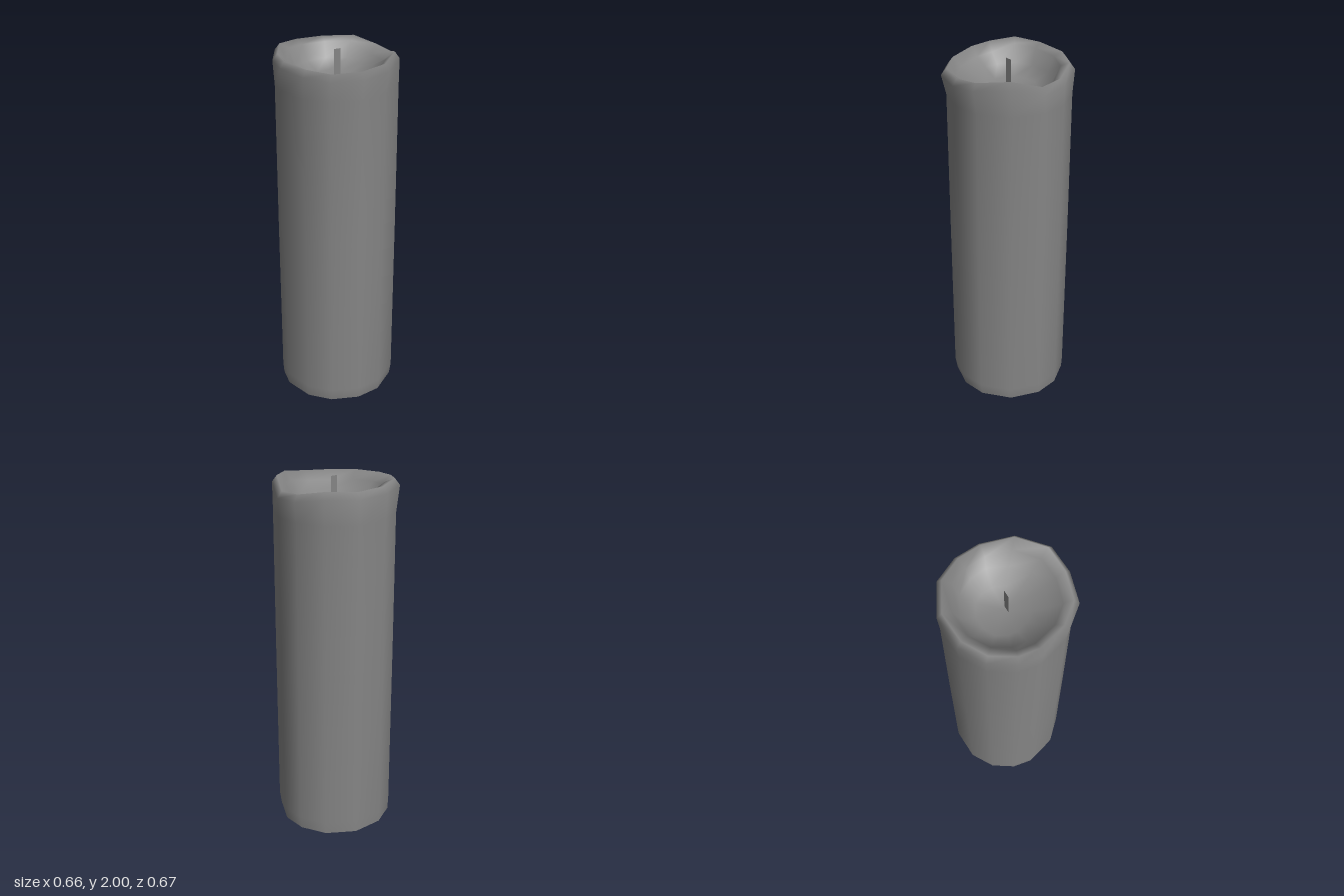
import * as THREE from 'three';

// Uneven outline of the candle rim: x, z and crest height, front going round by +x
const RIM = [
  [-0.03, 0.335, 1.967], [0.12, 0.325, 1.985], [0.255, 0.2, 2.0], [0.327, 0.04, 1.955],
  [0.317, -0.1, 1.962], [0.24, -0.24, 1.99], [0.08, -0.33, 1.985], [-0.1, -0.323, 1.99],
  [-0.24, -0.25, 2.0], [-0.315, -0.12, 1.985], [-0.33, 0, 1.978], [-0.285, 0.17, 1.97],
  [-0.19, 0.288, 1.962],
];
const N = RIM.length;

// Ring of the plain body: directions of the rim, nearly constant radius
function bodyRing(y, radius, dz = 0) {
  return RIM.map(([x, z]) => {
    const k = radius / Math.hypot(x, z);
    return [x * k, y, z * k + dz];
  });
}

// Ring following the rim; y comes from the crest height and depth position
function rimRing(scale, height, dz = 0) {
  return RIM.map(([x, z, crest]) => [x * scale, height(crest, z), z * scale + dz]);
}

// Skin a list of rings, then close the last one at a centre point
function skin(rings, centre) {
  const index = [];
  for (let j = 0; j < rings.length - 1; j++) {
    for (let i = 0; i < N; i++) {
      const a = j * N + i, b = j * N + (i + 1) % N;
      index.push(a, b, b + N, a, b + N, a + N);
    }
  }
  const last = (rings.length - 1) * N;
  for (let i = 0; i < N; i++) index.push(last + i, last + (i + 1) % N, last + N);
  const geo = new THREE.BufferGeometry();
  geo.setAttribute('position', new THREE.Float32BufferAttribute([...rings.flat(2), ...centre], 3));
  geo.setIndex(index);
  geo.computeVertexNormals();
  return geo;
}

export function createModel() {
  const group = new THREE.Group();
  const material = new THREE.MeshStandardMaterial({ color: 0x858585, side: THREE.DoubleSide });
  const add = (name, geometry) => {
    const mesh = new THREE.Mesh(geometry, material);
    mesh.name = name;
    group.add(mesh);
    return mesh;
  };

  // Wax body with melted rim and hollow; the rim is broader at the back
  const bottom = bodyRing(0, 0.321, -0.008);
  add('waxBody', skin([
    bottom,
    bodyRing(0.07, 0.328, -0.003),
    bodyRing(1.0, 0.328, -0.005),
    bodyRing(1.82, 0.326, -0.006),
    rimRing(1, c => c - 0.035),
    rimRing(0.92, c => c),
    rimRing(0.78, (c, z) => c - (z < -0.15 ? 0.02 : 0.045)),
    rimRing(0.64, () => 1.885, -0.015),
    rimRing(0.4, () => 1.84, -0.02),
  ], [0, 1.825, -0.01]));

  // Flat underside
  add('base', skin([bottom.slice().reverse()], [0, 0, -0.008]));

  // Flat wick standing in the hollow
  const wick = add('wick', new THREE.PlaneGeometry(0.038, 0.18));
  wick.position.set(0, 1.91, 0);

  return group;
}
